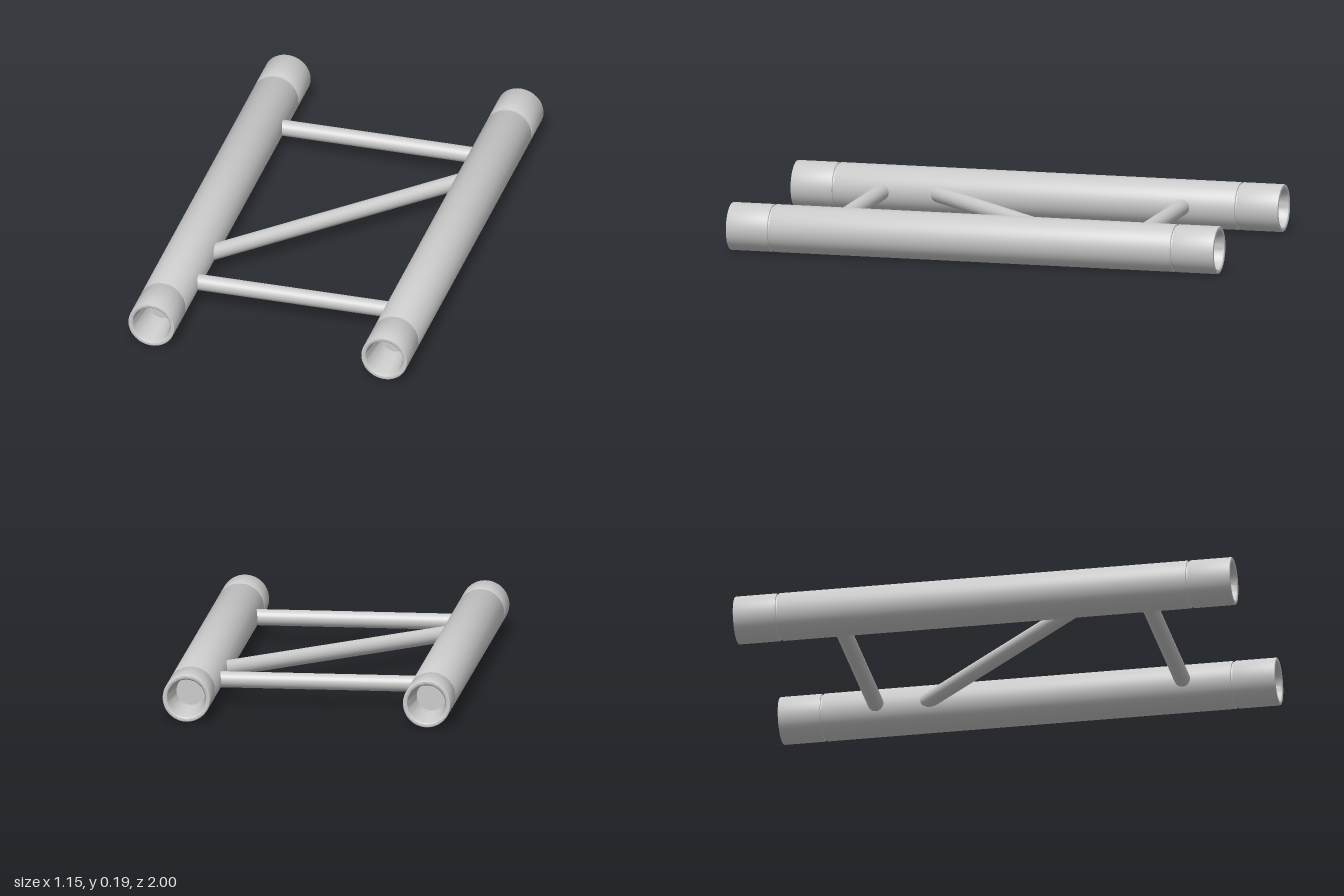
import * as THREE from 'three';
import { toCreasedNormals } from 'three/addons/utils/BufferGeometryUtils.js';

const TUBE_X = 0.478, TUBE_Y = 0.096, TUBE_R = 0.095;

export function createModel() {
  const group = new THREE.Group();
  const material = new THREE.MeshStandardMaterial({ color: 0xcccccc });

  // Half of the main tube profile: socket floor, tapered bore, rim, coupler seam
  const half = [
    [0, 0.84], [0.058, 0.84], [0.073, 0.985], [0.078, 0.997], [0.083, 1],
    [0.09, 1], [0.0935, 0.9985], [TUBE_R, 0.995],
    [TUBE_R, 0.833], [0.093, 0.83], [0.088, 0.829],
    [0.088, 0.823], [0.093, 0.822], [TUBE_R, 0.819],
  ];
  const profile = [
    ...half.map(([r, z]) => new THREE.Vector2(r, -z)),
    ...half.slice().reverse().map(([r, z]) => new THREE.Vector2(r, z)),
  ];
  const tubeGeometry = toCreasedNormals(new THREE.LatheGeometry(profile, 48), 0.6);
  tubeGeometry.rotateX(Math.PI / 2);

  // Two main tubes with a socket at each end
  for (const side of [-1, 1]) {
    const tube = new THREE.Mesh(tubeGeometry, material);
    tube.name = side > 0 ? 'leftMainTube' : 'rightMainTube';
    tube.position.set(side * TUBE_X, TUBE_Y, 0);
    group.add(tube);
  }

  // Round brace between two points at tube height
  const up = new THREE.Vector3(0, 1, 0);
  function addBrace(name, x1, z1, x2, z2) {
    const a = new THREE.Vector3(x1, TUBE_Y, z1);
    const b = new THREE.Vector3(x2, TUBE_Y, z2);
    const dir = b.clone().sub(a);
    const brace = new THREE.Mesh(new THREE.CylinderGeometry(0.032, 0.032, dir.length(), 32), material);
    brace.name = name;
    brace.position.copy(a).add(b).multiplyScalar(0.5);
    brace.quaternion.setFromUnitVectors(up, dir.normalize());
    group.add(brace);
  }
  addBrace('frontCrossBrace', -0.41, 0.628, 0.41, 0.628);
  addBrace('rearCrossBrace', -0.41, -0.605, 0.41, -0.605);
  addBrace('diagonalBrace', -0.425, 0.42, 0.425, -0.424);

  return group;
}
